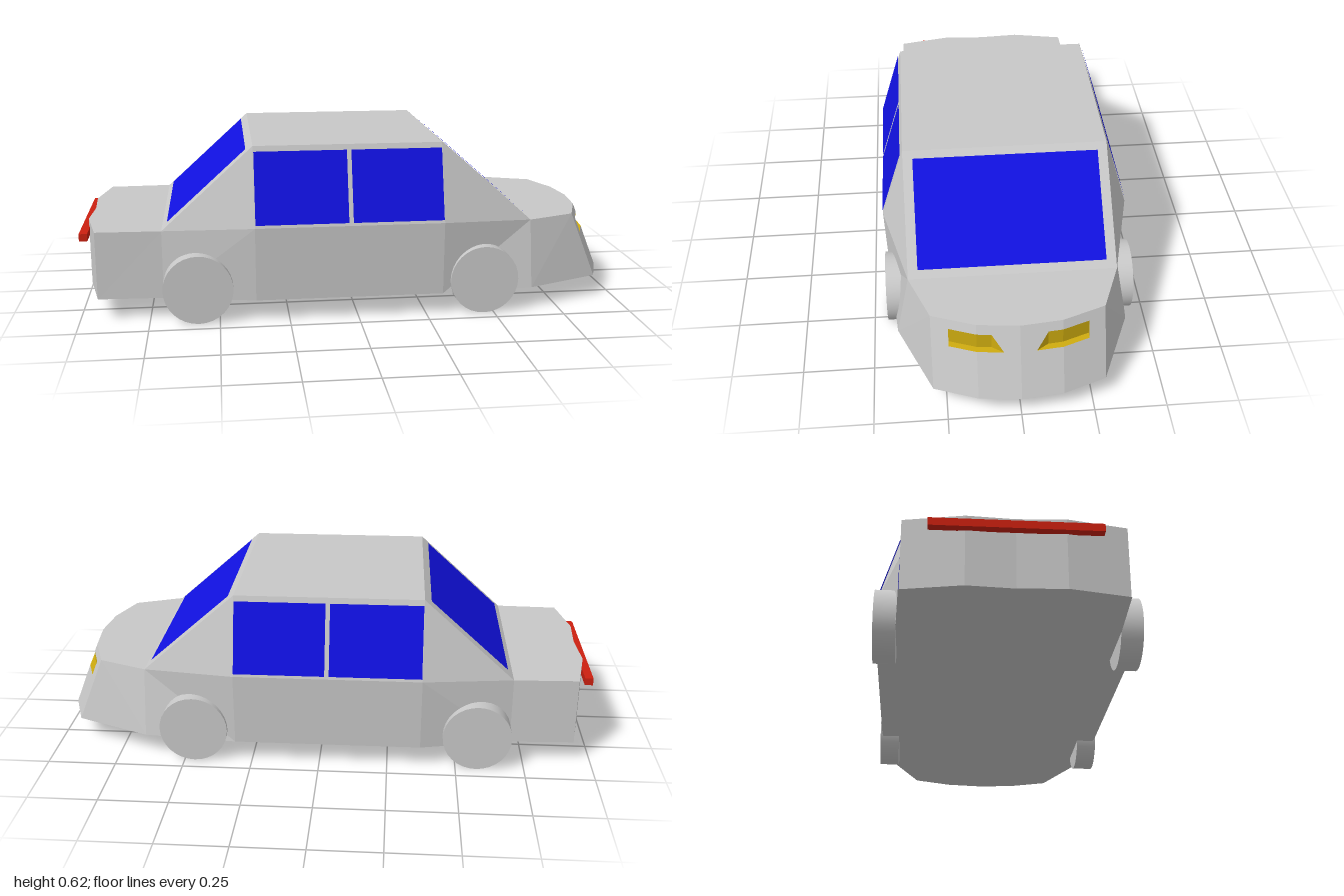
import * as THREE from 'three';

const material = (name, color, side = THREE.FrontSide) =>
  new THREE.MeshStandardMaterial({ name, color, side });

// Flat polygons (convex, counter-clockwise) become one faceted geometry.
function facets(polygons) {
  const pos = [];
  for (const p of polygons)
    for (let i = 1; i < p.length - 1; i++) pos.push(...p[0], ...p[i], ...p[i + 1]);
  const g = new THREE.BufferGeometry();
  g.setAttribute('position', new THREE.Float32BufferAttribute(pos, 3));
  g.computeVertexNormals();
  return g;
}
const mirror = (polys) => polys.map((p) => p.map(([x, y, z]) => [x, y, -z]).reverse());
const both = (polys) => [...polys, ...mirror(polys)];

// Lift a polygon slightly off the surface it lies on.
function lift(p, d = 0.004) {
  const [a, b, c] = p.map((q) => new THREE.Vector3(...q));
  const n = b.sub(a).cross(c.sub(a)).normalize().multiplyScalar(d);
  return p.map(([x, y, z]) => [x + n.x, y + n.y, z + n.z]);
}

const FLOOR = 0.077, DECK = 0.325, ROOF = 0.625, SHOULDER = 0.345;

// Raked, faceted nose: x as a function of z and y
function noseX(z, y) {
  const x = z < 0.145
    ? THREE.MathUtils.lerp(0.9, 0.885, z / 0.145)
    : THREE.MathUtils.lerp(0.885, 0.83, (z - 0.145) / 0.15);
  return x + (DECK - y) * 0.4;
}
const nose = (z, y) => [noseX(z, y), y, z];

export function createModel() {
  const car = new THREE.Group();
  car.name = 'car';
  const grey = material('bodyGrey', 0xc8c8c8);
  const blue = material('windowBlue', 0x1010e0, THREE.DoubleSide);
  const gold = material('lampGold', 0xcfac10, THREE.DoubleSide);
  const red = material('barRed', 0xcc2010);
  const add = (name, geometry, mat) => {
    const m = new THREE.Mesh(geometry, mat);
    m.name = name;
    car.add(m);
    return m;
  };

  // Side stations, rear to front: [bottom point, top point]
  const stations = [
    [[-0.935, FLOOR, 0.362], [-0.935, DECK, 0.36]],
    [[-0.7, FLOOR, 0.372], [-0.7, DECK, 0.368]],
    [[-0.37, FLOOR, 0.44], [-0.37, SHOULDER, 0.45]],
    [[0.31, FLOOR, 0.44], [0.31, SHOULDER, 0.45]],
    [[0.65, FLOOR, 0.412], [0.65, DECK, 0.365]],
    [nose(0.295, FLOOR), nose(0.295, DECK)],
  ];
  const sides = [];
  for (let i = 0; i < stations.length - 1; i++) {
    const [b0, t0] = stations[i], [b1, t1] = stations[i + 1];
    sides.push([b0, b1, t1], [b0, t1, t0]);
  }
  add('bodySides', facets(both(sides)), grey);

  // Tail panel, slightly hollow in the middle
  const tail = [[-0.965, 0], [-0.975, 0.16], [-0.935, 0.36]];
  const tailFaces = [0, 1].map((i) => {
    const [x0, z0] = tail[i], [x1, z1] = tail[i + 1];
    return [[x0, FLOOR, z0], [x1, FLOOR, z1], [x1, DECK, z1], [x0, DECK, z0]];
  });
  add('tailPanel', facets(both(tailFaces)), grey);

  // Bonnet, boot lid and underside
  add('bonnet', facets(both([[[0.65, DECK, 0], stations[4][1],
    nose(0.295, DECK), nose(0.145, DECK), nose(0, DECK)]])), grey);
  add('bootLid', facets(both([[[-0.7, DECK, 0],
    ...tail.map(([x, z]) => [x, DECK, z]), stations[1][1]]])), grey);
  const outline = [nose(0, FLOOR), nose(0.145, FLOOR), ...stations.map((s) => s[0]).reverse(),
    [-0.975, FLOOR, 0.16], [-0.965, FLOOR, 0]];
  add('underside', facets(both([[[0, FLOOR, 0], ...outline]])), grey);

  // Nose columns: inner z, outer z, lamp opening height at each edge
  const lo = 0.235, hi = 0.293;
  const columns = [[0, 0.055, lo, lo], [0.055, 0.095, lo, hi], [0.095, 0.145, hi, hi],
    [0.145, 0.237, hi, hi], [0.237, 0.295, lo, lo]];
  const noseFaces = [];
  for (const [z0, z1, h0, h1] of columns) {
    noseFaces.push([nose(z1, FLOOR), nose(z0, FLOOR), nose(z0, lo), nose(z1, lo)]);
    noseFaces.push([nose(z1, h1), nose(z0, h0), nose(z0, DECK), nose(z1, DECK)]);
  }
  add('nosePanel', facets(both(noseFaces)), grey);

  // Recessed headlights: upright back wall, floor and end walls
  const back = (z, y) => [noseX(z, hi), y, z];
  const lamp = [];
  for (const [z0, z1] of [[0.095, 0.145], [0.145, 0.237]]) {
    lamp.push([back(z1, lo), back(z0, lo), back(z0, hi), back(z1, hi)]);
    lamp.push([back(z0, lo), back(z1, lo), nose(z1, lo), nose(z0, lo)]);
  }
  lamp.push([back(0.095, lo), nose(0.055, lo), nose(0.095, hi)]);
  lamp.push([nose(0.055, lo), back(0.095, lo), nose(0.095, lo)]);
  lamp.push([back(0.237, lo), back(0.237, hi), nose(0.237, lo)]);
  add('leftHeadlight', facets(lamp), gold);
  add('rightHeadlight', facets(mirror(lamp)), gold);

  // Cabin
  const RZ = 0.365, front = 0.31, rear = -0.37;
  const rf = [front, ROOF, RZ], rr = [rear, ROOF, RZ];
  add('cabin', facets([
    ...both([
      [[rear, ROOF, 0], rr, rf, [front, ROOF, 0]],
      [stations[2][1], stations[3][1], rf, rr],
      [stations[3][1], stations[4][1], rf],
      [stations[1][1], stations[2][1], rr],
      [[0.65, DECK, 0], [front, ROOF, 0], rf, stations[4][1]],
      [[-0.7, DECK, 0], stations[1][1], rr, [rear, ROOF, 0]],
    ]),
  ]), grey);

  // Windscreen and rear window: x on the sloping panes from height
  const pane = (base, top, y) => THREE.MathUtils.lerp(base, top, (y - DECK) / (ROOF - DECK));
  const Y0 = 0.345, Y1 = 0.605, W = 0.33;
  const fx0 = pane(0.65, front, Y0), fx1 = pane(0.65, front, Y1);
  const bx0 = pane(-0.7, rear, Y0), bx1 = pane(-0.7, rear, Y1);
  add('windscreen', facets([lift([[fx0, Y0, W], [fx0, Y0, -W], [fx1, Y1, -W], [fx1, Y1, W]])]), blue);
  add('rearWindow', facets([lift([[bx0, Y0, -W], [bx0, Y0, W], [bx1, Y1, W], [bx1, Y1, -W]])]), blue);

  // Side windows
  const sideZ = (y) => THREE.MathUtils.lerp(0.45, RZ, (y - SHOULDER) / (ROOF - SHOULDER));
  const s0 = 0.355, s1 = 0.605;
  const glass = [[-0.368, -0.036], [-0.02, 0.308]].map(([a, b]) => lift([
    [a, s0, sideZ(s0)], [b, s0, sideZ(s0)], [b, s1, sideZ(s1)], [a, s1, sideZ(s1)]]));
  add('leftWindows', facets(glass), blue);
  add('rightWindows', facets(mirror(glass)), blue);

  // Rear light bar
  add('rearLightBar', new THREE.BoxGeometry(0.03, 0.027, 0.555), red).position.set(-0.985, 0.285, 0);

  // Wheels
  const wheel = new THREE.CylinderGeometry(0.125, 0.125, 0.076, 32).rotateX(Math.PI / 2);
  for (const [end, x] of [['rear', -0.575], ['front', 0.463]])
    for (const [side, s] of [['Left', 1], ['Right', -1]])
      add(`${end}${side}Wheel`, wheel, grey).position.set(x, 0.125, s * 0.41);

  return car;
}
